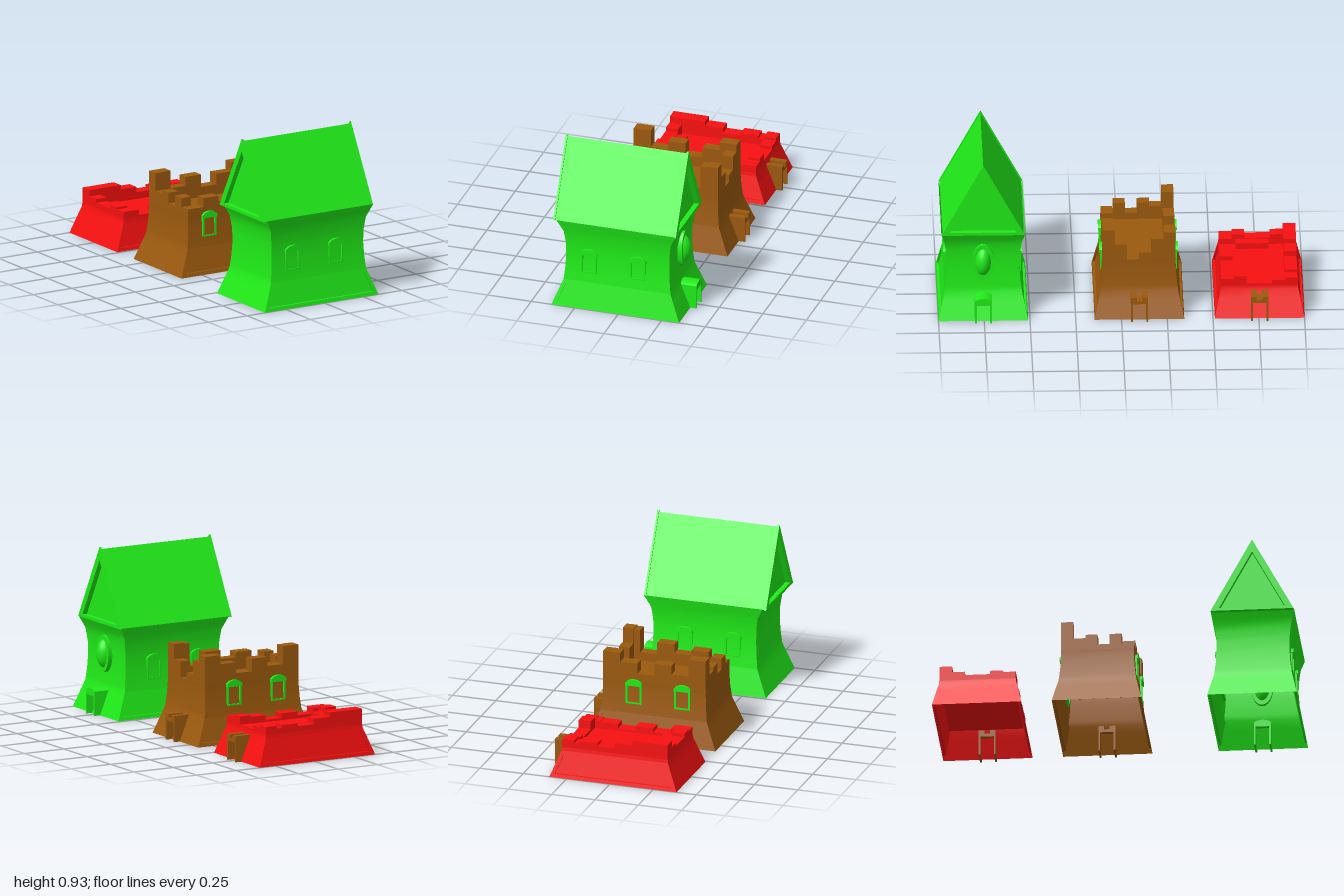
import * as THREE from 'three';

const mat = (color) => new THREE.MeshStandardMaterial({ color, side: THREE.DoubleSide });
const GREEN = mat(0x20ec18), BROWN = mat(0x9c5a0e), RED = mat(0xf81010);
const CX = -0.0175;

function add(parent, name, geo, material, x = 0, y = 0, z = 0) {
  const m = new THREE.Mesh(geo, material);
  m.name = name;
  m.position.set(x, y, z);
  parent.add(m);
  return m;
}

// Wall profile: [y, half width in x, half depth in z]
const PROFILE = [[0, 0.367, 0.245], [0.15, 0.307, 0.212], [0.22, 0.300, 0.204], [0.3, 0.296, 0.199],
  [0.37, 0.298, 0.201], [0.44, 0.307, 0.210], [0.475, 0.324, 0.220], [0.51, 0.342, 0.229]];

function at(y) {
  let i = 1;
  while (i < PROFILE.length - 1 && PROFILE[i][0] < y) i++;
  const a = PROFILE[i - 1], b = PROFILE[i], t = (y - a[0]) / (b[0] - a[0]);
  return [y, a[1] + (b[1] - a[1]) * t, a[2] + (b[2] - a[2]) * t];
}

// Surface through rows of points
function surface(rows, closed = false, flat = false) {
  const n = rows[0].length, idx = [];
  for (let r = 0; r < rows.length - 1; r++) {
    for (let i = 0; i < (closed ? n : n - 1); i++) {
      const a = r * n + i, b = r * n + (i + 1) % n;
      idx.push(a, b, b + n, a, b + n, a + n);
    }
  }
  let g = new THREE.BufferGeometry();
  g.setAttribute('position', new THREE.Float32BufferAttribute(rows.flat(2), 3));
  g.setIndex(idx);
  if (flat) g = g.toNonIndexed();
  g.computeVertexNormals();
  return g;
}

// Flared walls, open below, with a sunken panel in the long skirts
function body(group, top, material) {
  const levels = [0.15, 0.18, 0.22, 0.26, 0.3, 0.34, 0.37, 0.4, 0.44, 0.475, 0.51].filter((y) => y < top - 0.005);
  const rows = [...levels, top].map(at);
  for (const s of [1, -1]) {
    add(group, 'longWall', surface(rows.map(([y, x, z]) => [[-s * x, y, s * z], [s * x, y, s * z]])), material);
    add(group, 'endWall', surface([at(0), at(0.05), at(0.1), ...rows]
      .map(([y, x, z]) => [[s * x, y, s * z], [s * x, y, -s * z]])), material);
    const ring = (y0, y1, margin, sink) => {
      const [, xa, za] = at(y0), [, xb, zb] = at(y1);
      return [[-s * (xa - margin), y0, s * (za - sink)], [s * (xa - margin), y0, s * (za - sink)],
        [s * (xb - margin), y1, s * (zb - sink)], [-s * (xb - margin), y1, s * (zb - sink)]];
    };
    const inner = ring(0.02, 0.133, 0.022, 0.012);
    add(group, 'skirtFrame', surface([ring(0, 0.15, 0, 0), ring(0.02, 0.133, 0.022, 0), inner], true, true), material);
    add(group, 'skirtPanel', surface([[inner[0], inner[1]], [inner[3], inner[2]]]), material);
  }
}

function extrude(shape, depth) {
  return new THREE.ExtrudeGeometry(shape, { depth, bevelEnabled: false, curveSegments: 16 });
}

const poly = (pts) => pts.map(([x, y]) => new THREE.Vector2(x, y));

// Two hooded windows on each long side
function windows(group) {
  const frame = new THREE.Shape(poly([[-0.045, 0.205], [0.045, 0.205], [0.045, 0.32], [-0.045, 0.32]]));
  frame.holes.push(new THREE.Path(poly([[-0.035, 0.213], [0.035, 0.213], [0.035, 0.308], [-0.035, 0.308]])));
  const hood = new THREE.Shape();
  hood.moveTo(-0.048, 0.31);
  hood.lineTo(0.048, 0.31);
  hood.lineTo(0.048, 0.325);
  hood.quadraticCurveTo(0.03, 0.346, 0, 0.346);
  hood.quadraticCurveTo(-0.03, 0.346, -0.048, 0.325);
  for (const s of [1, -1]) {
    for (const x of [-0.163, 0.117]) {
      const w = new THREE.Group();
      w.name = 'window';
      w.position.x = x;
      w.rotation.y = s > 0 ? 0 : Math.PI;
      add(w, 'windowFrame', extrude(frame, 0.02), GREEN, 0, 0, 0.19);
      add(w, 'windowHood', extrude(hood, 0.025), GREEN, 0, 0, 0.19);
      group.add(w);
    }
  }
}

// Door porch on the +x end
function porch(group, material, battlemented) {
  const s = new THREE.Shape();
  s.moveTo(-0.047, 0);
  if (battlemented) {
    for (const [x, y] of [[-0.047, 0.145], [-0.015, 0.145], [-0.015, 0.125], [0.015, 0.125], [0.015, 0.145], [0.047, 0.145]]) s.lineTo(x, y);
  } else {
    s.lineTo(-0.047, 0.135);
    s.quadraticCurveTo(0, 0.162, 0.047, 0.135);
  }
  for (const [x, y] of [[0.047, 0], [0.037, 0], [0.037, 0.108], [-0.037, 0.108], [-0.037, 0]]) s.lineTo(x, y);
  add(group, 'porch', extrude(s, 0.102), material, 0.3, 0, 0).rotation.y = Math.PI / 2;
}

// Deck, parapet and uneven merlons round a castle top; heights run along each side
function battlements(group, material, deck, rim, thick, sides) {
  const [, hx, hz] = at(Math.min(rim, 0.3));
  const block = (name, x0, x1, z0, z1, y0, y1) => add(group, name,
    new THREE.BoxGeometry(x1 - x0, y1 - y0, z1 - z0), material, (x0 + x1) / 2, (y0 + y1) / 2, (z0 + z1) / 2);
  add(group, 'deck', new THREE.BoxGeometry(2 * hx - 0.01, 0.015, 2 * hz - 0.01), material, 0, deck, 0);
  for (const s of [1, -1]) {
    const long = s > 0 ? sides.front : sides.back, short = s > 0 ? sides.left : sides.right;
    const pair = (c) => (s > 0 ? [c - thick, c] : [-c, thick - c]);
    const lw = 2 * hx / long.length, sw = 2 * hz / short.length;
    long.forEach((h, i) => block('merlon', -hx + i * lw, -hx + (i + 1) * lw, ...pair(hz), deck, h));
    short.forEach((h, i) => block('merlon', ...pair(hx), -hz + i * sw, -hz + (i + 1) * sw, deck, h));
  }
}

// Gabled roof with raised bargeboards and sunken gables
function roof(group) {
  const tri = (apex, half, base) => poly([[-half, base], [half, base], [0, apex]]);
  const hole = tri(0.855, 0.18, 0.522);
  const prism = (apex, half) => {
    const s = new THREE.Shape(tri(apex, half, 0.505));
    s.holes.push(new THREE.Path(hole));
    return s;
  };
  const part = (name, geo, x) => { add(group, name, geo, GREEN, x, 0, 0).rotation.y = Math.PI / 2; };
  part('roofSlopes', extrude(prism(0.915, 0.222), 0.69), -0.356);
  for (const x of [-0.363, 0.332]) part('bargeboard', extrude(prism(0.927, 0.228), 0.011), x);
  for (const x of [-0.335, 0.315]) part('gable', new THREE.ShapeGeometry(new THREE.Shape(hole)), x);
}

// Domed oval window on the +x end
function ovalWindow(group) {
  const g = new THREE.Group();
  g.name = 'ovalWindow';
  g.position.set(0.3, 0.333, 0);
  g.rotation.y = Math.PI / 2;
  add(g, 'ovalRim', new THREE.CylinderGeometry(1, 1, 0.045, 32).rotateX(Math.PI / 2).scale(0.06, 0.104, 1), GREEN);
  add(g, 'ovalDome', new THREE.SphereGeometry(1, 32, 16).scale(0.046, 0.085, 0.057), GREEN);
  group.add(g);
}

function building(root, name, z) {
  const g = new THREE.Group();
  g.name = name;
  g.position.set(CX, 0, z);
  root.add(g);
  return g;
}

export function createModel() {
  const root = new THREE.Group();
  root.name = 'threeBuildings';

  const house = building(root, 'gabledHouse', 0.755);
  body(house, 0.51, GREEN);
  windows(house);
  porch(house, GREEN, false);
  ovalWindow(house);
  roof(house);

  const castle = building(root, 'castleKeep', -0.098);
  body(castle, 0.33, BROWN);
  windows(castle);
  porch(castle, BROWN, true);
  battlements(castle, BROWN, 0.315, 0.33, 0.062, {
    front: [0.37, 0.42, 0.39, 0.44, 0.37, 0.5],
    back: [0.5, 0.4, 0.45, 0.38, 0.44, 0.49],
    left: [0.49, 0.45, 0.37, 0.33, 0.42, 0.505],
    right: [0.5, 0.4, 0.42, 0.36, 0.42, 0.36],
  });

  const fort = building(root, 'lowFort', -0.755);
  body(fort, 0.17, RED);
  porch(fort, BROWN, true);
  battlements(fort, RED, 0.155, 0.17, 0.07, {
    front: [0.21, 0.18, 0.2, 0.175, 0.2, 0.205],
    back: [0.255, 0.255, 0.23, 0.2, 0.215, 0.2],
    left: [0.215, 0.2, 0.18, 0.18, 0.225, 0.21],
    right: [0.255, 0.22, 0.2, 0.2, 0.22, 0.21],
  });
  // Raised platform inside the fort
  add(fort, 'platform', new THREE.BoxGeometry(0.12, 0.04, 0.18), RED, -0.235, 0.175, 0.03);
  return root;
}
